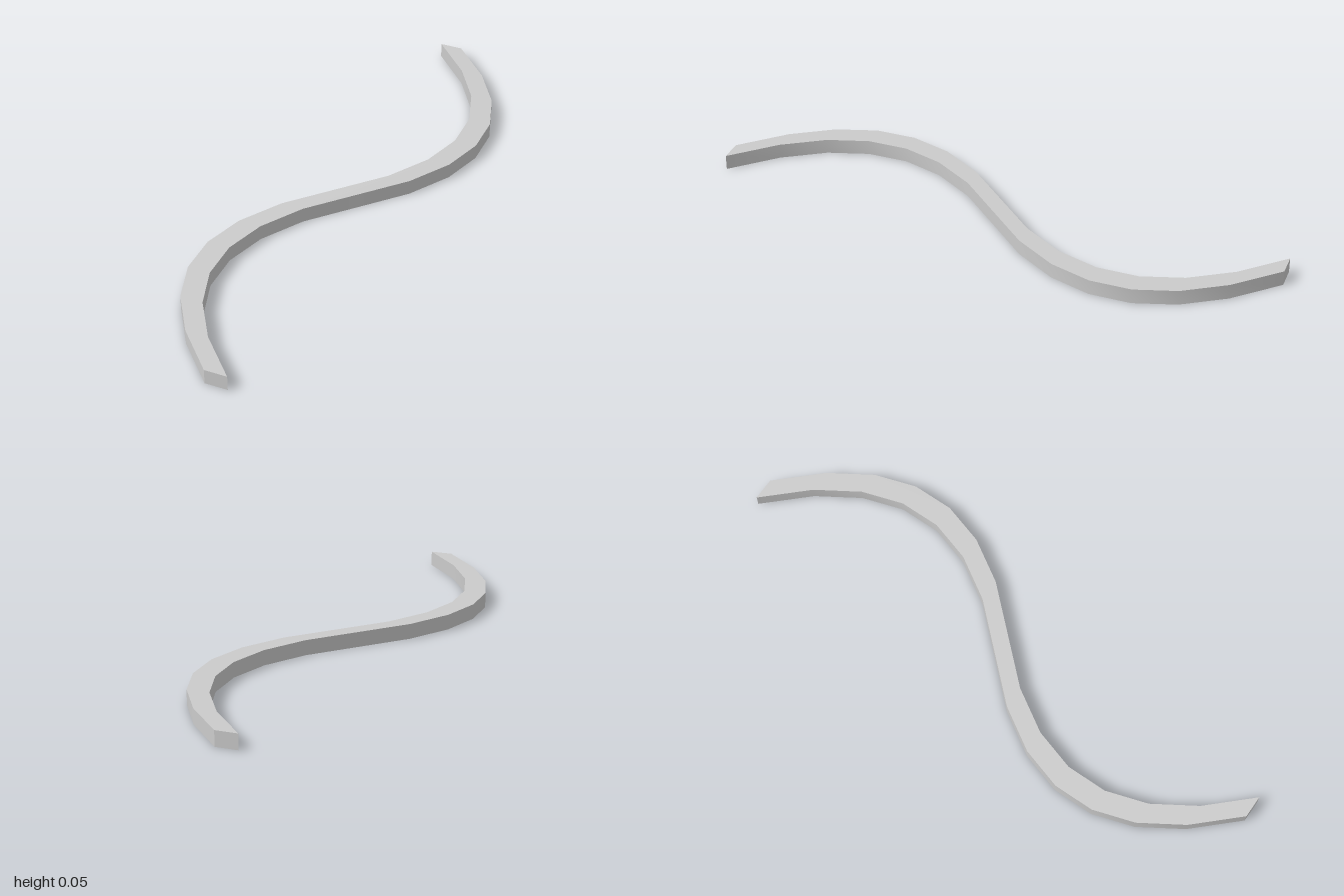
import * as THREE from 'three';
import { toCreasedNormals } from 'three/addons/utils/BufferGeometryUtils.js';

const HALF_WIDTH = 0.039; // half the strip's width, measured along x
const HEIGHT = 0.053;
const BEND = 0.549; // sideways reach of the curve handles

export function createModel() {
  const group = new THREE.Group();
  group.name = 'wavyStrip';

  // S-shaped outline drawn in plan: shape x is x, shape y is z
  const w = HALF_WIDTH;
  const outline = new THREE.Shape();
  outline.moveTo(-w, -1);
  outline.quadraticCurveTo(BEND - w, -0.5, -w, 0);
  outline.quadraticCurveTo(-BEND - w, 0.5, -w, 1);
  outline.lineTo(w, 1);
  outline.quadraticCurveTo(-BEND + w, 0.5, w, 0);
  outline.quadraticCurveTo(BEND + w, -0.5, w, -1);
  outline.closePath();

  // Extruded to its height, laid flat, with softly shaded sides and sharp rims
  const geometry = new THREE.ExtrudeGeometry(outline, {
    depth: HEIGHT,
    bevelEnabled: false,
    curveSegments: 7,
  });
  geometry.rotateX(Math.PI / 2);
  geometry.translate(0, HEIGHT, 0);

  const strip = new THREE.Mesh(
    toCreasedNormals(geometry, 0.5),
    new THREE.MeshStandardMaterial({ color: 0xcccccc })
  );
  strip.name = 'strip';
  group.add(strip);
  return group;
}
